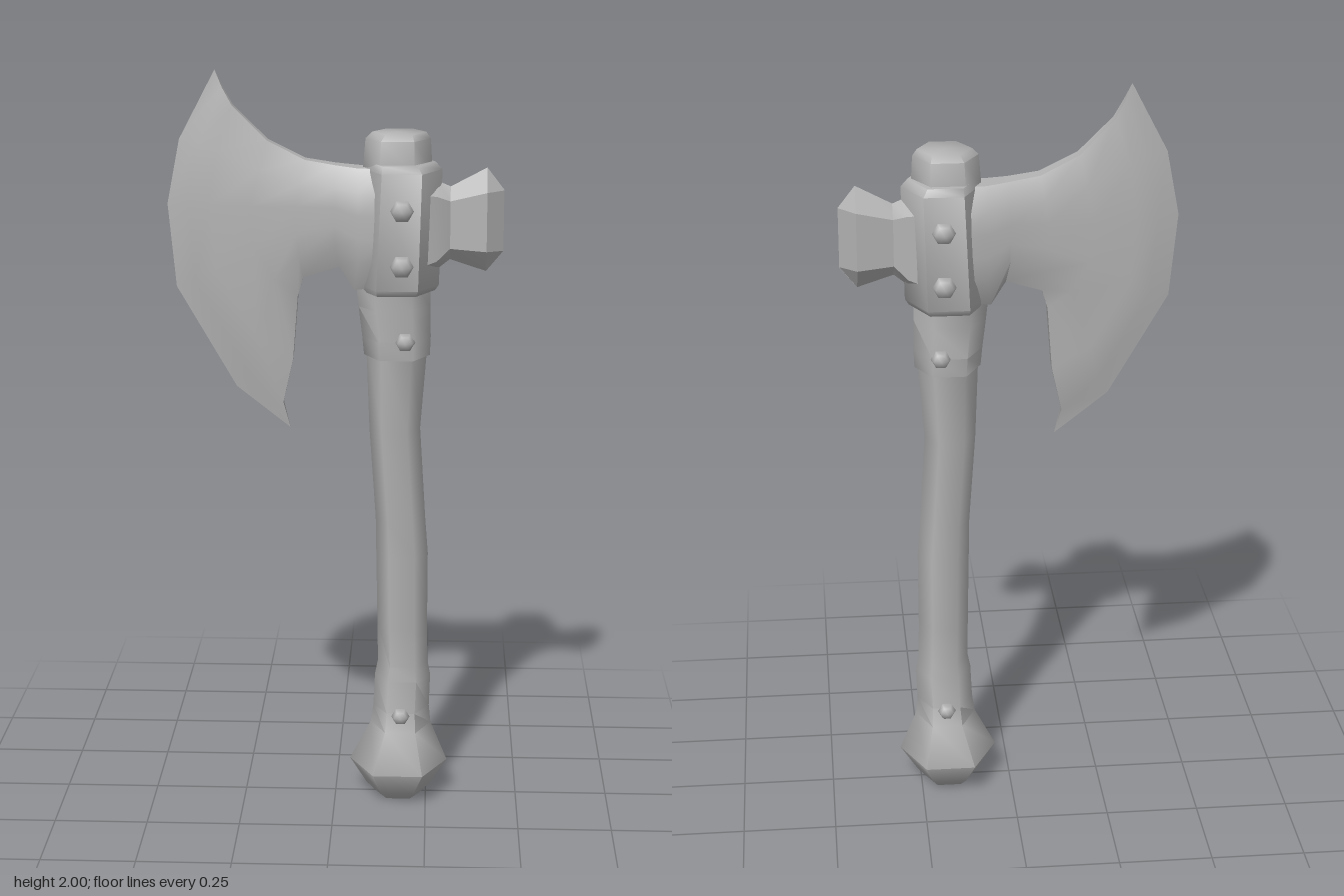
import * as THREE from 'three';
import { toCreasedNormals } from 'three/addons/utils/BufferGeometryUtils.js';

// Skin a list of closed rings (arrays of [x, y, z]) and cap both ends
function loft(rings, crease = 1.1) {
  const n = rings[0].length;
  const pos = rings.flat(2);
  const idx = [];
  for (let r = 0; r < rings.length - 1; r++) {
    for (let k = 0; k < n; k++) {
      const a = r * n + k, b = r * n + (k + 1) % n;
      idx.push(a, b, b + n, a, b + n, a + n);
    }
  }
  [0, rings.length - 1].forEach((r, end) => {
    const c = pos.length / 3;
    for (let j = 0; j < 3; j++) pos.push(rings[r].reduce((s, p) => s + p[j], 0) / n);
    for (let k = 0; k < n; k++) {
      const a = r * n + k, b = r * n + (k + 1) % n;
      if (end) idx.push(a, b, c); else idx.push(b, a, c);
    }
  });
  // Turn all faces outward, whichever way the rings run
  const p = i => new THREE.Vector3(pos[i * 3], pos[i * 3 + 1] - 1.5, pos[i * 3 + 2]);
  let volume = 0;
  for (let i = 0; i < idx.length; i += 3) volume += p(idx[i]).dot(p(idx[i + 1]).cross(p(idx[i + 2])));
  if (volume < 0) idx.reverse();
  const g = new THREE.BufferGeometry();
  g.setAttribute('position', new THREE.Float32BufferAttribute(pos, 3));
  g.setIndex(idx);
  return toCreasedNormals(g, crease);
}

// Six-sided ring with corners on the x axis: [y, left, right, half depth]
function hexRing([y, left, right, depth]) {
  return Array.from({ length: 6 }, (_, k) => {
    const a = k * Math.PI / 3;
    return [(left + right) / 2 + (right - left) / 2 * Math.cos(a), y, depth * Math.sin(a) / 0.866];
  });
}

export function createModel() {
  const group = new THREE.Group();
  const steel = new THREE.MeshStandardMaterial({ color: 0xb2b2b2 });
  steel.name = 'grey';
  const add = (name, geometry) => {
    const mesh = new THREE.Mesh(geometry, steel);
    mesh.name = name;
    group.add(mesh);
    return mesh;
  };
  const hexPart = (name, sections) => add(name, loft(sections.map(hexRing)));

  // Slightly bent grip flaring into the pommel
  hexPart('handle', [
    [0.005, 0.11, 0.24, 0.06], [0.03, 0.085, 0.262, 0.085], [0.1, 0.04, 0.308, 0.133],
    [0.21, 0.097, 0.262, 0.09], [0.26, 0.104, 0.257, 0.074], [0.35, 0.108, 0.26, 0.07],
    [0.39, 0.116, 0.252, 0.064], [0.5, 0.114, 0.25, 0.066], [0.7, 0.11, 0.25, 0.061],
    [0.8, 0.108, 0.242, 0.064], [1.05, 0.09, 0.226, 0.066], [1.3, 0.08, 0.245, 0.075],
  ]);
  hexPart('collar', [
    [1.25, 0.075, 0.25, 0.084], [1.3, 0.07, 0.252, 0.086],
    [1.38, 0.06, 0.25, 0.077], [1.47, 0.05, 0.25, 0.08],
  ]);
  hexPart('socket', [
    [1.425, 0.06, 0.262, 0.1], [1.44, 0.055, 0.272, 0.108],
    [1.745, 0.07, 0.278, 0.11], [1.765, 0.078, 0.26, 0.1],
  ]);
  hexPart('topCap', [
    [1.74, 0.07, 0.252, 0.083], [1.825, 0.077, 0.247, 0.08], [1.842, 0.095, 0.235, 0.066],
  ]);

  // Blade: columns of [x, y] from the upper edge to the lower edge, with half thickness
  const columns = [
    [0.085, [[0.13, 1.75], [0.13, 1.69], [0.13, 1.63], [0.13, 1.57], [0.13, 1.51], [0.13, 1.44]]],
    [0.072, [[0.06, 1.75], [0.06, 1.69], [0.06, 1.63], [0.06, 1.57], [0.06, 1.51], [0.05, 1.43]]],
    [0.055, [[0, 1.757], [0, 1.7], [0, 1.65], [0, 1.6], [0, 1.55], [0.01, 1.49]]],
    [0.046, [[-0.08, 1.77], [-0.09, 1.71], [-0.1, 1.65], [-0.1, 1.58], [-0.095, 1.52], [-0.085, 1.46]]],
    [0.04, [[-0.18, 1.82], [-0.2, 1.74], [-0.22, 1.65], [-0.21, 1.54], [-0.16, 1.46], [-0.1, 1.41]]],
    [0.033, [[-0.27, 1.91], [-0.31, 1.79], [-0.33, 1.65], [-0.315, 1.48], [-0.21, 1.3], [-0.113, 1.24]]],
    [0.025, [[-0.295, 1.955], [-0.36, 1.81], [-0.385, 1.65], [-0.37, 1.45], [-0.235, 1.21], [-0.14, 1.12]]],
    [0, [[-0.315, 2], [-0.41, 1.82], [-0.443, 1.65], [-0.422, 1.43], [-0.265, 1.16], [-0.122, 1.048]]],
  ];
  const fullness = [0.5, 0.95, 1, 1, 0.95, 0.5];
  add('blade', loft(columns.map(([depth, pts]) => {
    const side = s => pts.map(([x, y], i) => [x, y, s * depth * fullness[i]]);
    return [...side(1), ...side(-1).reverse()];
  }), 0.8));

  // Poll at the back of the head: [x, top, upper corner, lower corner, bottom, half depth]
  add('poll', loft([
    [0.2, 1.73, 1.69, 1.49, 1.45, 0.08],
    [0.265, 1.715, 1.68, 1.51, 1.48, 0.055],
    [0.3, 1.7, 1.665, 1.54, 1.508, 0.03],
    [0.395, 1.75, 1.69, 1.535, 1.477, 0.048],
    [0.44, 1.692, 1.69, 1.533, 1.531, 0],
  ].map(([x, top, up, low, bottom, z]) => [
    [x, top, 0], [x, up, z], [x, low, z], [x, bottom, 0], [x, low, -z], [x, up, -z],
  ]), 0.5));

  // Rivets mirrored on the front and back: [x, y, z, radius]
  const rivet = new THREE.SphereGeometry(1, 6, 4);
  rivet.rotateX(Math.PI / 2);
  for (const [x, y, z, r] of [
    [0.175, 1.65, 0.104, 0.033], [0.175, 1.505, 0.104, 0.033],
    [0.185, 1.3, 0.082, 0.027], [0.18, 0.255, 0.08, 0.025],
  ]) {
    for (const s of [1, -1]) {
      const mesh = add('rivet', rivet);
      mesh.position.set(x, y, s * z);
      mesh.scale.setScalar(r);
    }
  }
  return group;
}
